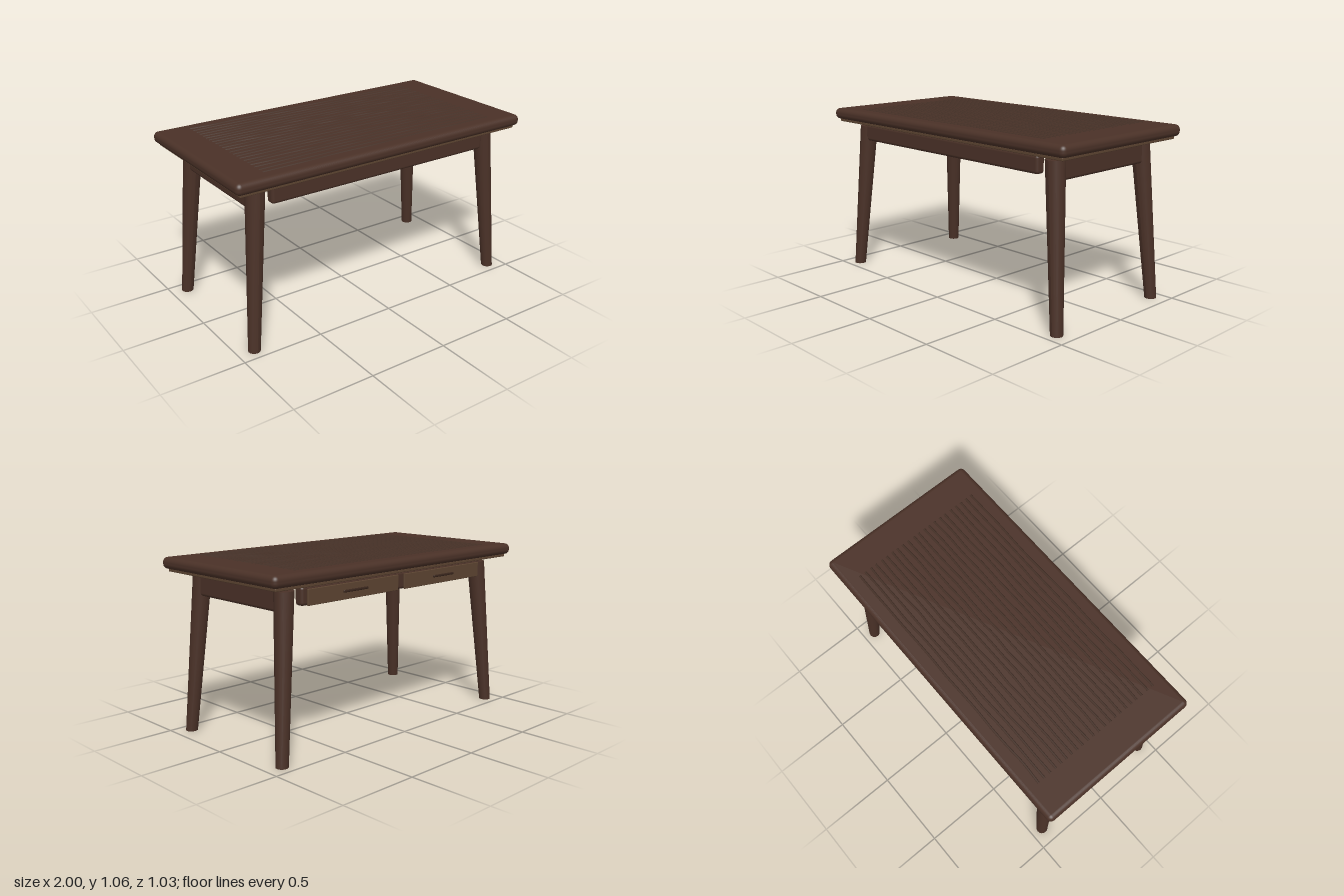
import * as THREE from 'three';
import { RoundedBoxGeometry } from 'three/addons/geometries/RoundedBoxGeometry.js';

const paint = (name, color) => {
  const m = new THREE.MeshStandardMaterial({ color });
  m.name = name;
  return m;
};

export function createModel() {
  const walnut = paint('walnut', 0x4a3127);
  const lightWood = paint('light wood', 0x5c4431);
  const grainWood = paint('grain wood', 0x453026);
  const handleWood = paint('dark handle wood', 0x38251c);

  const table = new THREE.Group();
  table.name = 'table';

  const add = (name, geometry, material, x = 0, y = 0, z = 0) => {
    const mesh = new THREE.Mesh(geometry, material);
    mesh.name = name;
    mesh.position.set(x, y, z);
    table.add(mesh);
    return mesh;
  };
  const rounded = (w, h, d, r) => new RoundedBoxGeometry(w, h, d, 4, r);

  // Table top with a thin board beneath it
  add('tableTop', rounded(2, 0.069, 1.028, 0.03), walnut, 0, 1.02, 0);
  add('underBoard', rounded(1.94, 0.018, 0.972, 0.004), lightWood, 0, 0.978, 0);

  // Raised, slightly wavy grain lines
  let seed = 7;
  const random = () => (seed = (seed * 16807) % 2147483647) / 2147483647;
  for (let i = 0; i < 22; i++) {
    const z = -0.42 + i * 0.04;
    const points = [];
    for (let j = 0; j <= 12; j++) {
      points.push(new THREE.Vector3(-0.8 + (j * 1.6) / 12, 1.052, z + (random() - 0.5) * 0.008));
    }
    const curve = new THREE.CatmullRomCurve3(points);
    add('grainLine', new THREE.TubeGeometry(curve, 36, 0.008, 6), grainWood);
  }

  // Aprons: long ones front and back, deeper ones at the sides
  for (const s of [1, -1]) {
    add(s > 0 ? 'frontApron' : 'backApron', rounded(1.51, 0.105, 0.06, 0.018), walnut, 0, 0.912, s * 0.408);
    add(s > 0 ? 'leftApron' : 'rightApron', rounded(0.07, 0.134, 0.76, 0.018), walnut, s * 0.824, 0.896, 0);
  }

  // Splayed, tapered legs with level feet: a cone sheared outwards
  const height = 0.945;
  for (const sx of [1, -1]) {
    for (const sz of [1, -1]) {
      const leg = new THREE.CylinderGeometry(0.056, 0.036, height, 16);
      const p = leg.attributes.position;
      for (let i = 0; i < p.count; i++) {
        const t = p.getY(i) / height + 0.5;
        p.setX(i, p.getX(i) + sx * THREE.MathUtils.lerp(0.897, 0.818, t));
        p.setZ(i, p.getZ(i) + sz * THREE.MathUtils.lerp(0.424, 0.368, t));
      }
      leg.computeVertexNormals();
      add((sz > 0 ? 'front' : 'back') + (sx > 0 ? 'Left' : 'Right') + 'Leg', leg, walnut, 0, height / 2, 0);
    }
  }

  // Two drawer fronts with bar handles on the back
  for (const s of [1, -1]) {
    add('drawerFront', rounded(0.7, 0.09, 0.012, 0.003), lightWood, s * 0.377, 0.907, -0.452);
    add('drawerHandle', rounded(0.19, 0.014, 0.012, 0.005), handleWood, s * 0.377, 0.909, -0.461);
  }

  return table;
}
